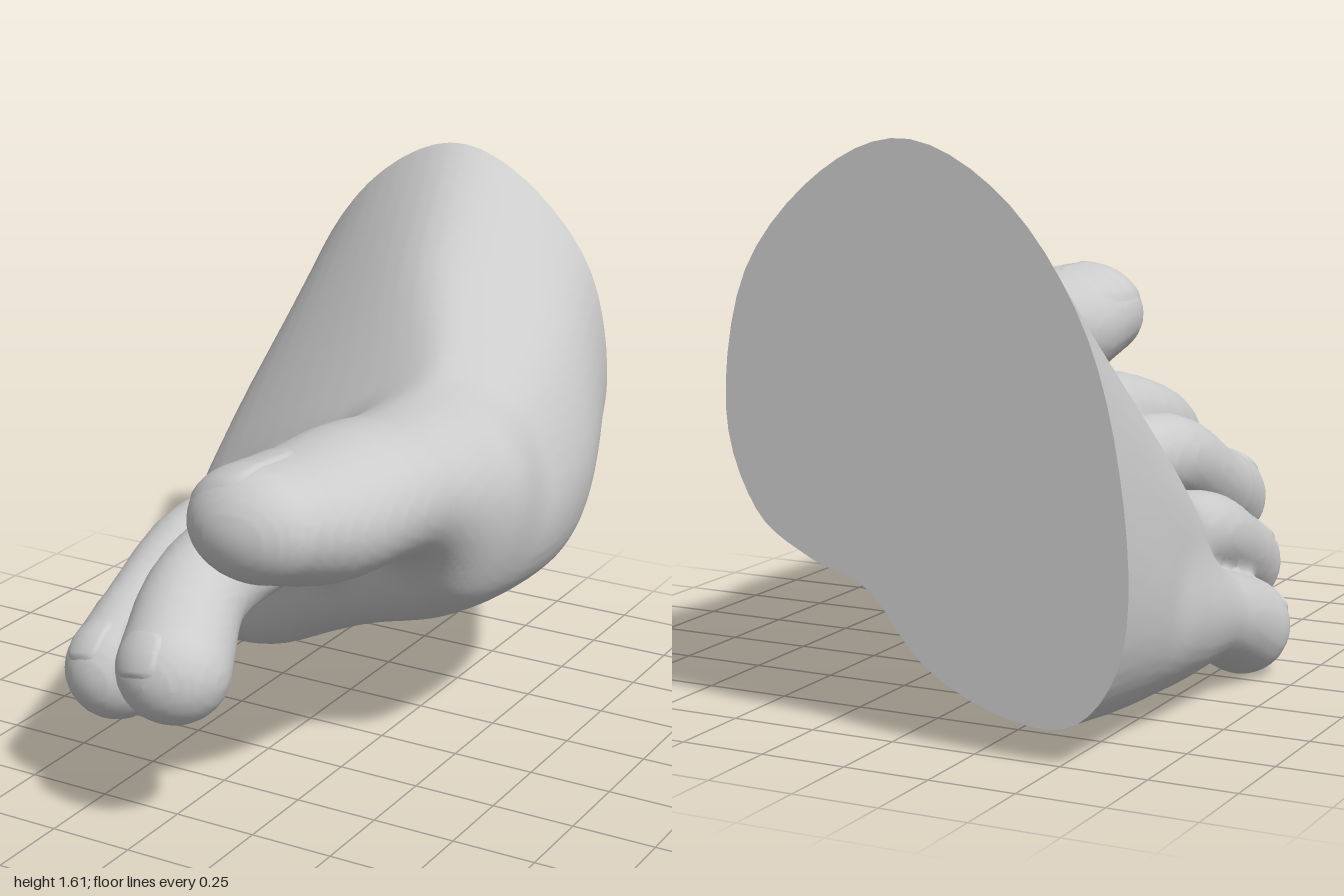
import * as THREE from 'three';

// Outlines [x, y] across the foot at evenly spaced depths, clockwise from the top of the instep
const Z0 = -1, Z1 = 0.35;
const SECTIONS = [
  [[-.07, 1.61], [.2, 1.52], [.44, 1.25], [.51, .87], [.42, .6], [.25, .48], [.07, .41],
    [-.1, .22], [-.34, .11], [-.55, .12], [-.68, .33], [-.68, .7], [-.58, 1.12], [-.36, 1.45]],
  [[.07, 1.34], [.33, 1.28], [.55, 1.1], [.66, .8], [.6, .53], [.4, .42], [.15, .34],
    [-.05, .2], [-.3, .07], [-.5, .055], [-.65, .2], [-.67, .43], [-.6, .75], [-.27, 1.11]],
  [[.25, 1.09], [.42, 1.11], [.59, 1.0], [.69, .75], [.64, .55], [.46, .42], [.2, .33],
    [0, .24], [-.25, .12], [-.48, .07], [-.6, .14], [-.64, .28], [-.55, .45], [-.15, .82]],
  [[.2, 1.0], [.4, 1.05], [.52, 1.0], [.6, .8], [.55, .6], [.42, .53], [.2, .43],
    [0, .34], [-.25, .23], [-.48, .14], [-.58, .18], [-.6, .25], [-.5, .38], [-.15, .67]],
];

// Toes: spine points [x, y, z, radius], and how much to flatten (below 1 is wider than tall)
const TOES = [
  { name: 'bigToe', flat: .77, spine: [[.41, .86, 0, .2], [.375, .92, .35, .2], [.335, .915, .58, .19], [.3, .945, .775, .163]],
    nail: { at: [.2, 1.1, .73], normal: [-.2, 1, .08], w: .12, l: .15 } },
  { name: 'secondToe', flat: .95, spine: [[.03, .68, 0, .145], [0, .685, .3, .15], [-.03, .615, .58, .14], [.06, .5, .845, .155]],
    nail: { at: [.02, .57, .95], normal: [-.2, .6, .8], w: .08, l: .07 } },
  { name: 'thirdToe', flat: 1, spine: [[-.19, .61, -.05, .13], [-.26, .6, .22, .13], [-.28, .485, .47, .118], [-.225, .39, .705, .15]],
    nail: { at: [-.26, .47, .76], normal: [-.25, .8, .6], w: .065, l: .075 } },
  { name: 'fourthToe', flat: 1, spine: [[-.42, .46, -.25, .115], [-.465, .43, 0, .12], [-.47, .355, .18, .115], [-.425, .265, .365, .138]],
    nail: { at: [-.46, .33, .44], normal: [-.3, .65, .7], w: .06, l: .06 } },
  { name: 'littleToe', flat: 1, spine: [[-.53, .3, -.5, .13], [-.57, .24, -.2, .125], [-.565, .145, .07, .145]],
    nail: { at: [-.62, .18, .16], normal: [-.55, .5, .65], w: .05, l: .05 } },
];

const spline = (pts, closed) => new THREE.CatmullRomCurve3(pts, closed, 'catmullrom');
const smoothMin = (a, b, k) => {
  const h = Math.max(k - Math.abs(a - b), 0) / k;
  return Math.min(a, b) - h * h * k * 0.25;
};

// Smooth closed outline of the foot at depth z
const rails = SECTIONS[0].map((_, i) => spline(SECTIONS.map(s => new THREE.Vector3(s[i][0], s[i][1], 0))));
function outline(z) {
  const t = THREE.MathUtils.clamp((z - Z0) / (Z1 - Z0), 0, 1);
  return spline(rails.map(r => r.getPoint(t)), true).getPoints(70).slice(0, 70);
}

// Signed distance from (x, y) to a closed outline
function outlineDistance(ring, x, y) {
  let best = Infinity, inside = false;
  for (let i = 0, j = ring.length - 1; i < ring.length; j = i++) {
    const a = ring[j], b = ring[i], ex = b.x - a.x, ey = b.y - a.y, px = x - a.x, py = y - a.y;
    const t = Math.min(1, Math.max(0, (px * ex + py * ey) / (ex * ex + ey * ey)));
    best = Math.min(best, (px - t * ex) ** 2 + (py - t * ey) ** 2);
    if ((a.y > y) !== (b.y > y) && x < a.x + ex * (y - a.y) / ey) inside = !inside;
  }
  return Math.sqrt(best) * (inside ? -1 : 1);
}

// Body of the foot: the outline, rounded off along the slanting line of the toe roots
function bodyDistance(ring, x, y, z) {
  const front = z - (0.02 + 0.37 * x + 0.05 * (y - 0.3));
  return -smoothMin(-outlineDistance(ring, x, y), -front, 0.22);
}

// Rounded, tapering toe around a curved spine
function makeToe({ spine, flat }) {
  const curve = spline(spine.map(p => new THREE.Vector3(p[0] * flat, p[1], p[2])));
  const N = 10, pts = [];
  for (let i = 0; i <= N; i++) {
    const u = i / N * (spine.length - 1), k = Math.min(Math.floor(u), spine.length - 2);
    pts.push({ p: curve.getPoint(i / N), r: THREE.MathUtils.lerp(spine[k][3], spine[k + 1][3], u - k) });
  }
  return (x, y, z) => {
    let best = Infinity;
    for (let i = 0; i < N; i++) {
      const a = pts[i].p, b = pts[i + 1].p;
      const ex = b.x - a.x, ey = b.y - a.y, ez = b.z - a.z;
      const px = x * flat - a.x, py = y - a.y, pz = z - a.z;
      const t = Math.min(1, Math.max(0, (px * ex + py * ey + pz * ez) / (ex * ex + ey * ey + ez * ez)));
      const dx = px - t * ex, dy = py - t * ey, dz = pz - t * ez;
      best = Math.min(best, Math.sqrt(dx * dx + dy * dy + dz * dz) - pts[i].r - t * (pts[i + 1].r - pts[i].r));
    }
    return best;
  };
}

// Skin: sample the blended body and toes on a grid and wrap it in quads
function skinGeometry(toes) {
  const h = 0.02, n = [80, 94, 107], o = [-0.8, -0.1, Z0 - h];
  const step = [1, n[0], n[0] * n[1]], field = new Float32Array(n[0] * n[1] * n[2]);
  for (let k = 0, c = 0; k < n[2]; k++) {
    const z = Math.max(o[2] + k * h, Z0), ring = outline(z);
    for (let j = 0; j < n[1]; j++) for (let i = 0; i < n[0]; i++, c++) {
      const x = o[0] + i * h, y = o[1] + j * h;
      let d = 9;
      for (const toe of toes) d = smoothMin(d, toe(x, y, z), 0.04);
      field[c] = smoothMin(d, bodyDistance(ring, x, y, z), 0.12);
    }
  }
  const vertex = new Int32Array(field.length).fill(-1), pos = [], index = [];
  const corner = (c, m) => c + (m & 1) * step[0] + (m >> 1 & 1) * step[1] + (m >> 2) * step[2];
  for (let k = 0; k < n[2] - 1; k++) for (let j = 0; j < n[1] - 1; j++) for (let i = 0; i < n[0] - 1; i++) {
    const c = i + j * step[1] + k * step[2], sum = [0, 0, 0];
    let count = 0;
    // one vertex per crossed cell, at the mean of its edge crossings
    for (let m = 0; m < 8; m++) for (let a = 0; a < 3; a++) {
      if (m >> a & 1) continue;
      const f0 = field[corner(c, m)], f1 = field[corner(c, m | 1 << a)];
      if ((f0 < 0) === (f1 < 0)) continue;
      for (let b = 0; b < 3; b++) sum[b] += (m >> b & 1) + (a === b ? f0 / (f0 - f1) : 0);
      count++;
    }
    if (!count) continue;
    vertex[c] = pos.length / 3;
    pos.push(o[0] + (i + sum[0] / count) * h, o[1] + (j + sum[1] / count) * h,
      Math.max(Z0, o[2] + (k + sum[2] / count) * h));
    // one quad per crossed edge
    const ijk = [i, j, k];
    for (let a = 0; a < 3; a++) {
      const u = (a + 1) % 3, v = (a + 2) % 3, inside = field[c] < 0;
      if (!ijk[u] || !ijk[v] || inside === (field[c + step[a]] < 0)) continue;
      const q = [c - step[u] - step[v], c - step[v], c, c - step[u]].map(e => vertex[e]);
      if (!inside) q.reverse();
      index.push(q[0], q[1], q[2], q[0], q[2], q[3]);
    }
  }
  const g = new THREE.BufferGeometry();
  g.setAttribute('position', new THREE.Float32BufferAttribute(pos, 3));
  g.setIndex(index);
  g.computeVertexNormals();
  return g;
}

// Nail: a rounded-square plate dropped onto the toe, with its rim sunk into the skin
function nailGeometry({ at, normal, w, l }, toe) {
  const up = new THREE.Vector3(...normal).normalize();
  const side = new THREE.Vector3(0, -0.6, 1).cross(up).negate().normalize();
  const along = new THREE.Vector3().crossVectors(side, up);
  const g = new THREE.RingGeometry(0.001, 1, 32, 8), p = g.attributes.position, v = new THREE.Vector3();
  for (let i = 0; i < p.count; i++) {
    const x = p.getX(i), y = p.getY(i), r = Math.hypot(x, y);
    const square = r / Math.pow(x ** 4 + y ** 4, 0.25);
    v.set(...at).addScaledVector(side, x * square * w).addScaledVector(along, y * square * l).addScaledVector(up, 0.15);
    for (let s = 0; s < 40; s++) v.addScaledVector(up, -0.7 * toe(v.x, v.y, v.z));
    v.addScaledVector(up, r > 0.95 ? -0.006 : 0.006);
    p.setXYZ(i, v.x, v.y, v.z);
  }
  g.computeVertexNormals();
  return g;
}

export function createModel() {
  const group = new THREE.Group();
  group.name = 'foot';
  const material = new THREE.MeshStandardMaterial({ color: 0xcccccc });
  const plate = new THREE.MeshStandardMaterial({ color: 0xcccccc, side: THREE.DoubleSide });
  const add = (name, geometry, mat = material) => {
    const mesh = new THREE.Mesh(geometry, mat);
    mesh.name = name;
    group.add(mesh);
  };

  const toes = TOES.map(makeToe);
  add('footAndToes', skinGeometry(toes));
  TOES.forEach((t, i) => add(t.name + 'Nail', nailGeometry(t.nail, toes[i]), plate));

  // Flat cut at the back, facing -z
  const cut = new THREE.Shape(outline(Z0).map(p => new THREE.Vector2(-p.x, p.y)));
  add('backCut', new THREE.ShapeGeometry(cut).rotateY(Math.PI).translate(0, 0, Z0));
  return group;
}
